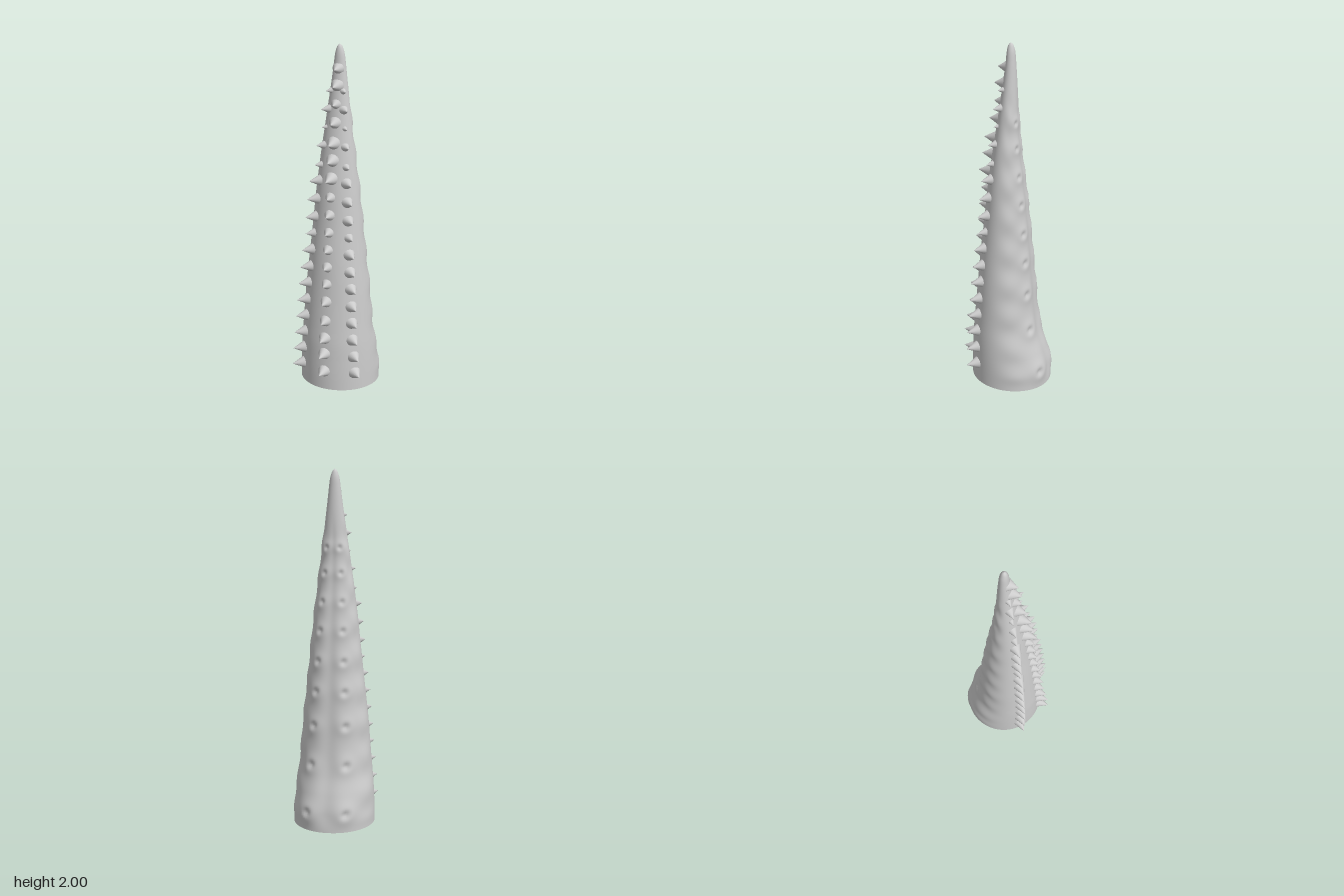
import * as THREE from 'three';

// Stations up the tentacle: [y, half width, front z, back z]
const STATIONS = [
  [0, 0.232, 0.2, -0.266], [0.1, 0.23, 0.199, -0.264], [0.2, 0.224, 0.196, -0.24],
  [0.3, 0.214, 0.192, -0.208], [0.4, 0.204, 0.183, -0.188], [0.6, 0.188, 0.165, -0.168],
  [0.8, 0.166, 0.147, -0.15], [1, 0.145, 0.124, -0.131], [1.2, 0.124, 0.103, -0.109],
  [1.4, 0.099, 0.075, -0.084], [1.6, 0.072, 0.044, -0.068], [1.8, 0.045, 0.016, -0.058],
  [1.9, 0.033, 0.003, -0.052], [1.95, 0.026, -0.002, -0.048], [1.98, 0.017, -0.008, -0.041],
  [1.994, 0.009, -0.015, -0.034], [2, 0.0005, -0.0245, -0.0255],
];
const SUCKER_HEIGHTS = [0.1, 0.36, 0.58, 0.77, 0.94, 1.11, 1.27, 1.43, 1.57];
const SUCKER_ANGLE = 0.5; // either side of the back centre line

// Interpolates a station column with a smooth cubic
function sample(y, column) {
  let i = 0;
  while (i < STATIONS.length - 2 && y > STATIONS[i + 1][0]) i++;
  const at = (k) => STATIONS[Math.min(Math.max(k, 0), STATIONS.length - 1)];
  const [a, b] = [at(i), at(i + 1)];
  const h = b[0] - a[0];
  const t = (y - a[0]) / h;
  const slope = (k) => (at(k + 1)[column] - at(k - 1)[column]) / (at(k + 1)[0] - at(k - 1)[0]);
  return (2 * t ** 3 - 3 * t * t + 1) * a[column] + (t ** 3 - 2 * t * t + t) * h * slope(i)
    + (3 * t * t - 2 * t ** 3) * b[column] + (t ** 3 - t * t) * h * slope(i + 1);
}

const bell = (d, w) => Math.exp(-((d / w) ** 2));

// Raised, dimpled suckers in two columns with a shallow groove between them
function relief(angle, y) {
  const width = sample(y, 1);
  const back = Math.atan2(Math.sin(angle - Math.PI), Math.cos(angle - Math.PI));
  const fade = THREE.MathUtils.smoothstep(1.78 - y, 0, 0.2) * THREE.MathUtils.smoothstep(y, 0, 0.1);
  let height = -0.05 * width * bell(back, 0.24) * fade;
  for (const side of [-1, 1]) {
    SUCKER_HEIGHTS.forEach((sy) => {
      const size = 0.025 + 0.15 * sample(sy, 1);
      const d = Math.hypot((back - side * SUCKER_ANGLE) * width, y - sy);
      height += size * (0.22 * bell(d, size) - 0.3 * bell(d, size * 0.38));
    });
    // Soft lumps along the flanks
    height += 0.004 * Math.sin(y * 33 + side) * bell(back - side * 1.15, 0.35) * fade;
  }
  return height;
}

// Point on the skin; angle 0 is the front
function skin(angle, y) {
  const front = sample(y, 2);
  const back = sample(y, 3);
  const bump = relief(angle, y) * Math.min(1, (2 - y) * 10);
  return new THREE.Vector3(
    Math.sin(angle) * (sample(y, 1) + bump), y,
    (front + back) / 2 + Math.cos(angle) * ((front - back) / 2 + bump));
}

// Hollow skin, open at the sloping lower rim
function bodyGeometry(around = 112, rows = 240) {
  const positions = [];
  const index = [];
  for (let j = 0; j <= rows; j++) {
    const t = j / rows;
    const level = 2 * (1 - (1 - t) ** 1.25);
    for (let i = 0; i < around; i++) {
      const angle = (i / around) * Math.PI * 2;
      const p = skin(angle, level);
      const rim = 0.0125 * (1 + Math.cos(angle)) * Math.max(0, 1 - level / 0.2);
      positions.push(p.x, p.y + rim, p.z);
      if (j === rows) continue;
      const a = j * around + i;
      const b = j * around + ((i + 1) % around);
      index.push(a, b, b + around, a, b + around, a + around);
    }
  }
  const geometry = new THREE.BufferGeometry();
  geometry.setAttribute('position', new THREE.Float32BufferAttribute(positions, 3));
  geometry.setIndex(index);
  geometry.computeVertexNormals();
  return geometry;
}

export function createModel() {
  const group = new THREE.Group();
  const material = new THREE.MeshStandardMaterial({ color: 0xcccccc, side: THREE.DoubleSide });
  const body = new THREE.Mesh(bodyGeometry(), material);
  body.name = 'tentacleBody';
  group.add(body);

  // Unit cone pointing along +z with its base at the origin
  const cone = new THREE.ConeGeometry(1, 1, 24, 1, true).translate(0, 0.5, 0).rotateX(Math.PI / 2);

  // Column of spikes: each entry is [y, base radius, length]
  function addSpikes(name, angle, spikes) {
    const column = new THREE.Group();
    column.name = name;
    for (const [y, radius, length] of spikes) {
      const sink = radius * 0.3;
      const spike = new THREE.Mesh(cone, material);
      spike.name = 'spike';
      spike.position.copy(skin(angle, y));
      spike.position.x -= Math.sin(angle) * sink;
      spike.position.z -= Math.cos(angle) * sink;
      spike.rotation.y = angle;
      spike.scale.set(radius, radius, length + sink);
      column.add(spike);
    }
    group.add(column);
  }

  // Front column, measured by the reach of each tip
  const frontTips = [
    [0.14, 0.267], [0.25, 0.265], [0.345, 0.25], [0.45, 0.232], [0.565, 0.222], [0.67, 0.206],
    [0.77, 0.197], [0.87, 0.185], [0.97, 0.172], [1.07, 0.165], [1.17, 0.151], [1.275, 0.165],
    [1.375, 0.143], [1.47, 0.13], [1.58, 0.1], [1.68, 0.071], [1.78, 0.07], [1.87, 0.05],
  ];
  addSpikes('frontSpikes', 0, frontTips.map(([y, tip]) => {
    const length = tip - skin(0, y).z;
    return [y, Math.min(0.041, 0.012 + length * 0.5), length];
  }));

  // Side columns, with smaller spikes at a few heights
  const sideHeights = [0.13, 0.233, 0.337, 0.44, 0.54, 0.643, 0.743, 0.845, 0.943,
    1.04, 1.145, 1.25, 1.34, 1.45, 1.55, 1.65, 1.75];
  const smaller = { 8: 0.8, 12: 0.65, 13: 0.75, 14: 0.45, 15: 0.8, 16: 0.55 };
  for (const side of [-1, 1]) {
    addSpikes(side > 0 ? 'leftSpikes' : 'rightSpikes', side * 0.8, sideHeights.map((y, i) => {
      const size = (smaller[i] ?? 1) * (1 - y * 0.12);
      return [y, 0.041 * size, 0.07 * size];
    }));
  }
  return group;
}
